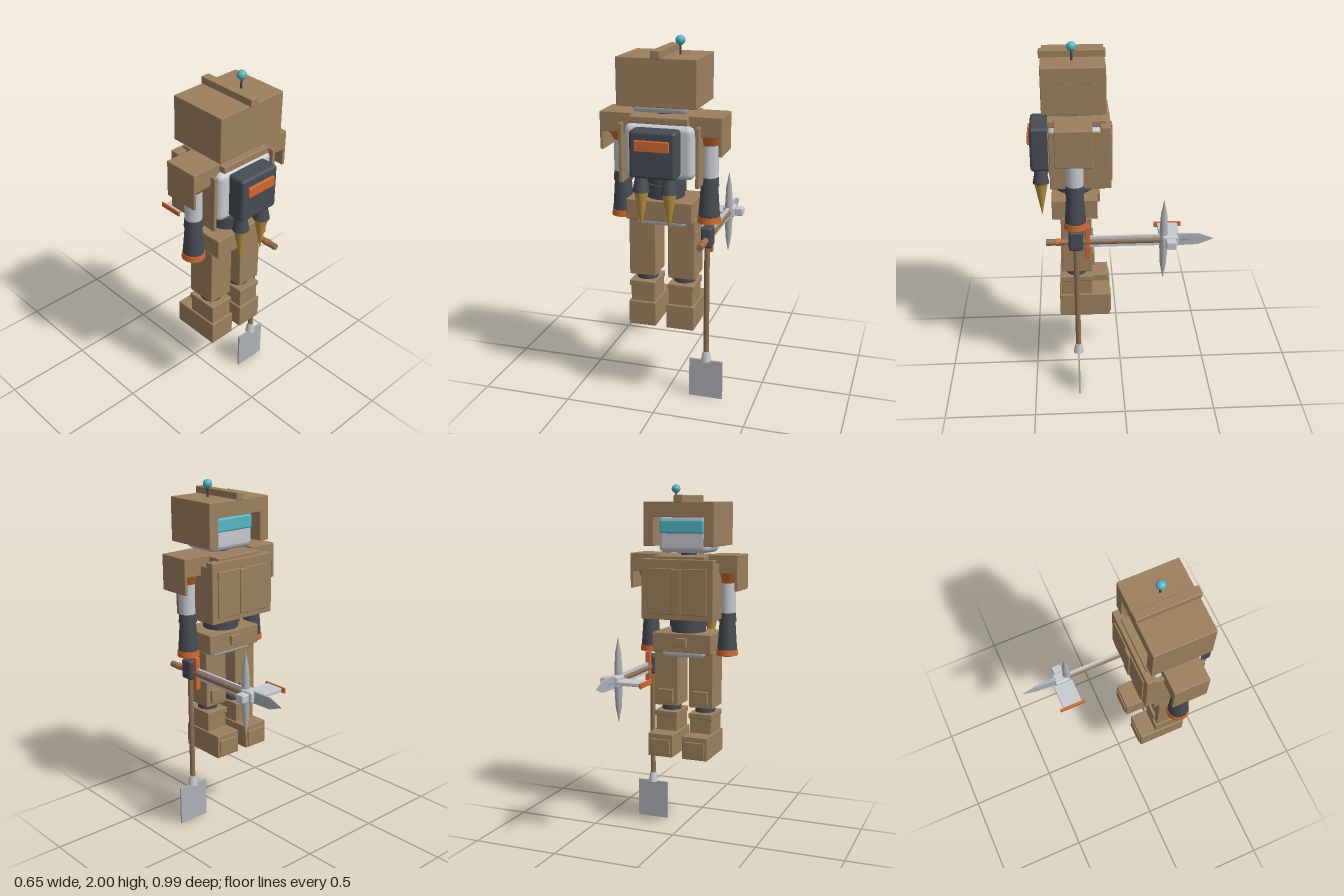
import * as THREE from 'three';
import { RoundedBoxGeometry } from 'three/addons/geometries/RoundedBoxGeometry.js';

const colour = (name, hex) => Object.assign(new THREE.MeshStandardMaterial({ color: hex }), { name });

export function createModel() {
  const M = {
    armour: colour('tan armour', 0x9c805e),
    wood: colour('shaft brown', 0x8f7152),
    dark: colour('dark grey', 0x474b53),
    light: colour('light grey', 0xc6c9cf),
    steel: colour('steel', 0xadb0b5),
    orange: colour('orange', 0xd0682e),
    teal: colour('teal glow', 0x55b6c2),
    gold: colour('gold flame', 0xb9943f),
  };
  const model = new THREE.Group();
  model.name = 'miningRobot';
  let parent = model;

  const section = (name) => {
    parent = new THREE.Group();
    parent.name = name;
    model.add(parent);
  };
  const add = (name, mat, geo, x, y, z) => {
    const mesh = new THREE.Mesh(geo, mat);
    mesh.name = name;
    mesh.position.set(x, y, z);
    parent.add(mesh);
    return mesh;
  };
  // Box given by its limits, with softened edges when r > 0
  const box = (name, mat, x0, x1, y0, y1, z0, z1, r = 0.004) => {
    const w = Math.abs(x1 - x0), h = y1 - y0, d = z1 - z0;
    const geo = r > 0 ? new RoundedBoxGeometry(w, h, d, 2, r) : new THREE.BoxGeometry(w, h, d);
    return add(name, mat, geo, (x0 + x1) / 2, (y0 + y1) / 2, (z0 + z1) / 2);
  };
  // Upright round part between two heights
  const round = (name, mat, x, z, y0, y1, r0, r1, n = 24) =>
    add(name, mat, new THREE.CylinderGeometry(r1, r0, y1 - y0, n), x, (y0 + y1) / 2, z);
  // Round part lying along z
  const rod = (name, mat, x, y, z0, z1, r, n = 16) => {
    const m = add(name, mat, new THREE.CylinderGeometry(r, r, z1 - z0, n), x, y, (z0 + z1) / 2);
    m.rotation.x = Math.PI / 2;
    return m;
  };

  // Head: hollow helmet, open at the face and below
  section('head');
  box('helmetTop', M.armour, -0.21, 0.21, 1.82, 1.905, 0.08, 0.41);
  box('helmetRear', M.armour, -0.21, 0.21, 1.66, 1.825, 0.36, 0.41);
  for (const s of [-1, 1]) box('helmetCheek', M.armour, s * 0.15, s * 0.21, 1.66, 1.825, 0.08, 0.41);
  box('crest', M.armour, -0.025, 0.025, 1.9, 1.942, 0.075, 0.42);
  box('innerHead', M.light, -0.15, 0.15, 1.62, 1.84, 0.14, 0.37, 0.035);
  box('visor', M.teal, -0.13, 0.13, 1.73, 1.805, 0.125, 0.15, 0.01);
  round('antennaStem', M.dark, 0.08, 0.25, 1.9, 1.965, 0.006, 0.006, 10);
  add('antennaBall', M.teal, new THREE.SphereGeometry(0.025, 24, 16), 0.08, 1.977, 0.25);
  round('neck', M.dark, 0, 0.25, 1.55, 1.64, 0.045, 0.045);

  // Torso: light core wrapped by an armour vest open at the rear
  section('torso');
  box('core', M.light, -0.185, 0.185, 1.285, 1.565, 0.1, 0.385, 0.035);
  box('vestFront', M.armour, -0.215, 0.215, 1.25, 1.59, 0.058, 0.11);
  for (const s of [-1, 1]) {
    box('vestSide', M.armour, s * 0.195, s * 0.215, 1.25, 1.565, 0.06, 0.378);
    box('chestPlate', M.armour, s * 0.02, s * 0.178, 1.28, 1.54, 0.05, 0.07);
  }
  box('chestRidge', M.armour, -0.028, 0.028, 1.285, 1.535, 0.042, 0.07);
  box('collar', M.armour, -0.155, 0.155, 1.57, 1.606, 0.08, 0.385);
  for (let i = 0; i < 3; i++)
    round('waistRing', M.dark, 0, 0.25, 1.15 + i * 0.047, 1.195 + i * 0.047, 0.1 + (i % 2) * 0.01, 0.1 + (i % 2) * 0.01, 32);

  // Hips
  section('hips');
  box('hipArmour', M.armour, -0.178, 0.178, 1.055, 1.165, 0.13, 0.375);
  box('pelvis', M.light, -0.14, 0.14, 1.02, 1.1, 0.15, 0.35, 0.03);
  box('buckle', M.armour, -0.035, 0.035, 1.085, 1.14, 0.112, 0.135);

  // Jetpack
  section('jetpack');
  box('pack', M.dark, -0.122, 0.122, 1.31, 1.555, 0.375, 0.482, 0.018);
  box('packStripe', M.orange, -0.09, 0.09, 1.452, 1.508, 0.475, 0.495);
  for (const s of [-1, 1]) {
    round('nozzle', M.dark, s * 0.075, 0.43, 1.23, 1.315, 0.045, 0.028);
    round('flame', M.gold, s * 0.075, 0.43, 1.04, 1.232, 0.001, 0.038);
  }

  for (const s of [-1, 1]) {
    // Arm with shoulder guard
    section(s > 0 ? 'leftArm' : 'rightArm');
    const ax = s * 0.237;
    box('shoulderGuard', M.armour, s * 0.15, s * 0.325, 1.51, 1.615, 0.153, 0.348);
    box('shoulderSkirt', M.armour, s * 0.307, s * 0.325, 1.415, 1.6, 0.153, 0.348);
    round('shoulderCup', M.orange, ax, 0.25, 1.45, 1.515, 0.045, 0.075);
    round('upperArm', M.light, ax, 0.25, 1.27, 1.48, 0.047, 0.047);
    round('elbow', M.dark, ax, 0.25, 1.235, 1.285, 0.051, 0.047);
    round('forearm', M.dark, ax, 0.25, 1.07, 1.24, 0.057, 0.045);
    round('cuff', M.orange, ax, 0.25, 1.04, 1.073, 0.063, 0.06);
    round('wrist', M.dark, ax, 0.25, 1.035, 1.045, 0.045, 0.045);

    // Leg
    section(s > 0 ? 'leftLeg' : 'rightLeg');
    box('thigh', M.armour, s * 0.035, s * 0.18, 0.73, 1.06, 0.165, 0.33);
    box('kneePad', M.armour, s * 0.062, s * 0.152, 0.75, 0.83, 0.15, 0.175);
    round('kneeJoint', M.dark, s * 0.105, 0.25, 0.66, 0.74, 0.058, 0.058);
    box('shin', M.armour, s * 0.04, s * 0.172, 0.57, 0.68, 0.165, 0.335);
    box('shinCap', M.armour, s * 0.035, s * 0.178, 0.665, 0.697, 0.158, 0.34);
    box('foot', M.armour, s * 0.03, s * 0.182, 0.445, 0.58, 0.068, 0.347);
    box('toePlate', M.armour, s * 0.045, s * 0.167, 0.46, 0.55, 0.06, 0.08);
  }

  // Hand holding both tools
  section('hand');
  box('fist', M.dark, 0.2, 0.26, 0.9, 1.015, 0.21, 0.29, 0.014);

  // Shovel hanging straight down
  section('shovel');
  round('shovelShaft', M.wood, 0.228, 0.25, 0.26, 0.93, 0.015, 0.015, 16);
  round('shovelSocket', M.light, 0.228, 0.25, 0.228, 0.285, 0.029, 0.019, 16);
  box('shovelBlade', M.steel, 0.133, 0.322, 0.003, 0.231, 0.245, 0.255, 0);

  // Battle pick pointing towards -z
  section('pick');
  const px = 0.23, py = 0.945;
  rod('pickShaft', M.wood, px, py, -0.23, 0.36, 0.017);
  rod('pickButt', M.wood, px, py, 0.358, 0.41, 0.018);
  rod('buttRing', M.orange, px, py, 0.335, 0.358, 0.02);
  box('guard', M.orange, 0.215, 0.245, 0.85, 1.04, 0.175, 0.2);
  for (const s of [-1, 1])
    box('shaftRail', M.light, 0.223, 0.237, py + s * 0.022 - 0.009, py + s * 0.022 + 0.009, -0.21, 0.175, 0);
  box('pickHub', M.light, 0.195, 0.263, 0.915, 0.977, -0.3, -0.213, 0.01);
  box('hammer', M.light, 0.26, 0.31, 0.922, 0.968, -0.286, -0.23, 0.008);
  box('axeBlade', M.light, 0.052, 0.2, 0.935, 0.955, -0.315, -0.202);
  box('axeEdge', M.orange, 0.045, 0.056, 0.93, 0.96, -0.335, -0.185, 0.003);
  for (const s of [-1, 1]) {
    const profile = [[0.024, 0], [0.022, 0.05], [0.017, 0.15], [0.0001, 0.24]].map((p) => new THREE.Vector2(...p));
    const spike = add('spike', M.steel, new THREE.LatheGeometry(profile, 12), px, py, -0.222);
    if (s < 0) spike.rotation.x = Math.PI;
  }
  // Flat spear point: outline drawn in z and y, thinned towards the tip
  const outline = new THREE.Shape([[-0.29, -0.032], [-0.29, 0.032], [-0.41, 0.032], [-0.495, 0], [-0.41, -0.032]]
    .map(([z, y]) => new THREE.Vector2(-z, y)));
  const pointGeo = new THREE.ExtrudeGeometry(outline, { depth: 0.022, bevelEnabled: false });
  pointGeo.translate(0, 0, -0.011);
  const pos = pointGeo.attributes.position;
  for (let i = 0; i < pos.count; i++) {
    const thin = THREE.MathUtils.mapLinear(pos.getX(i), 0.29, 0.495, 1, 0.05);
    pos.setZ(i, pos.getZ(i) * thin);
  }
  pointGeo.computeVertexNormals();
  add('spearPoint', M.steel, pointGeo, px, py, 0).rotation.y = Math.PI / 2;
  for (const s of [-1, 1])
    box('glowStripe', M.teal, px + s * 0.006, px + s * 0.0115, 0.942, 0.949, -0.36, -0.305, 0);

  return model;
}
